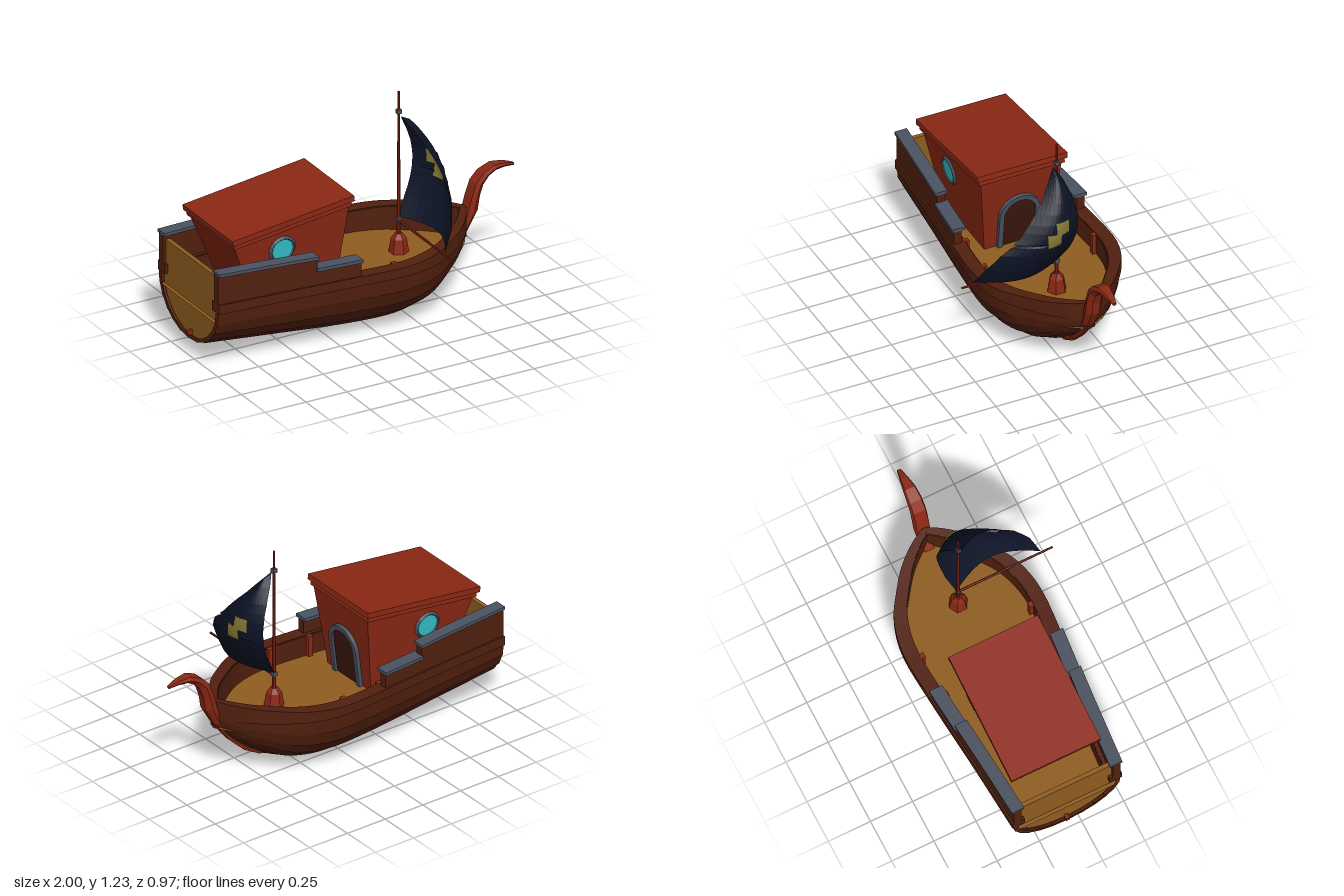
import * as THREE from 'three';

const mat = (color) => new THREE.MeshStandardMaterial({ color, flatShading: true, side: THREE.DoubleSide });
const HULL = mat(0x52200f), RED = mat(0x8c2814), DECK = mat(0x8f5d1f), IRON = mat(0x4b5361);
const SAIL = mat(0x0d1326), PATCH = mat(0x857a35), GLASS = mat(0x35c4cc), DOOR = mat(0x3a170c);

// Skin a list of equal-length rings of [x, y, z] points
function loft(rings, closed = true, caps = false) {
  const n = rings[0].length, idx = [];
  rings.slice(1).forEach((_, i) => {
    for (let j = 0; j < (closed ? n : n - 1); j++) {
      const a = i * n + j, b = i * n + (j + 1) % n;
      idx.push(a, b, b + n, a, b + n, a + n);
    }
  });
  if (caps) {
    const e = (rings.length - 1) * n;
    for (let j = 1; j < n - 1; j++) idx.push(0, j + 1, j, e, e + j, e + j + 1);
  }
  const g = new THREE.BufferGeometry();
  g.setAttribute('position', new THREE.Float32BufferAttribute(rings.flat(2), 3));
  g.setIndex(idx);
  g.computeVertexNormals();
  return g;
}

// Linear lookup in a list of points sorted by their first value
function lookup(table, t, k = 1) {
  let i = 0;
  while (i < table.length - 2 && t > table[i + 1][0]) i++;
  const a = table[i], b = table[i + 1];
  const f = THREE.MathUtils.clamp((t - a[0]) / (b[0] - a[0]), 0, 1);
  return a[k] + (b[k] - a[k]) * f;
}

// Hull stations: x, half beam, keel height
const stations = new THREE.CatmullRomCurve3([
  [-0.99, 0.315, 0.1], [-0.6, 0.345, 0.06], [-0.15, 0.385, 0.018], [0.1, 0.4, 0.01], [0.22, 0.388, 0.02],
  [0.35, 0.345, 0.05], [0.45, 0.28, 0.1], [0.56, 0.195, 0.183], [0.65, 0.09, 0.275], [0.7, 0.004, 0.362],
].map((p) => new THREE.Vector3(...p)), false, 'centripetal').getPoints(36).map((p) => p.toArray());
const beam = (x) => lookup(stations, x);
const SHEER = 0.37, FLOOR = 0.3;

// Half-round hull section with slightly overlapping strakes
function section([x, w, yb], scale = 1, lap = 0.012) {
  const half = [];
  for (let k = 0; k < 6; k++) {
    for (const [q, s] of [[k, 1], [k + 1, 1 + lap]]) {
      const a = q * Math.PI / 12, r = s * scale;
      half.push([x, SHEER - (SHEER - yb) * Math.sin(a) * (q === 6 ? scale : r), w * Math.cos(a) * r]);
    }
  }
  return [...half, ...half.slice(0, -1).reverse().map(([px, y, z]) => [px, y, -z])];
}

// Box-section strip that follows the side of the hull
function strip(x0, x1, side, inner, outer, bottom, top) {
  const xs = [x0, ...stations.map((s) => s[0]).filter((x) => x > x0 + 0.001 && x < x1 - 0.001), x1];
  return loft(xs.map((x) => {
    const zi = side * Math.max(beam(x) - inner, 0), zo = side * (beam(x) + outer);
    return [[x, bottom(x), zi], [x, bottom(x), zo], [x, top(x), zo], [x, top(x), zi]];
  }), true, true);
}

function archPoints(shape, r, spring, start) {
  shape[start](r, 0);
  shape.lineTo(r, spring);
  shape.absarc(0, spring, r, 0, Math.PI, false);
  shape.lineTo(-r, 0);
}

// Sail outline: height, luff z, leech z
const sailEdges = [
  [0.5, -0.01, 0.49], [0.6, -0.045, 0.455], [0.7, -0.06, 0.38], [0.74, -0.064, 0.33], [0.75, -0.065, 0.285],
  [0.76, -0.066, 0.315], [0.79, -0.067, 0.28], [0.86, -0.065, 0.22], [0.96, -0.046, 0.13], [1.04, -0.017, 0.07], [1.1, 0.02, 0.025],
];
function sailX(y, z) {
  const v = (y - 0.5) / 0.6, a = lookup(sailEdges, y, 1), b = lookup(sailEdges, y, 2);
  const u = THREE.MathUtils.clamp((z - a) / (b - a), 0, 1);
  return 0.297 + 0.12 * Math.sin(Math.PI * v) + 0.09 * Math.sin(Math.PI * u) * Math.pow(Math.max(1 - v, 0), 0.3);
}
function sailGeometry(ys, lo, hi, offset = 0, n = 12) {
  return loft(ys.map((y) => Array.from({ length: n + 1 }, (_, i) => {
    const z = lo(y) + (hi(y) - lo(y)) * i / n;
    return [sailX(y, z) + offset, y, z];
  })), false);
}

export function createModel() {
  const model = new THREE.Group();
  const ship = new THREE.Group();
  ship.name = 'ship';
  ship.position.z = -0.08;
  model.add(ship);
  const add = (name, geometry, material, x = 0, y = 0, z = 0, parent = ship) => {
    const m = new THREE.Mesh(geometry, material);
    m.name = name;
    m.position.set(x, y, z);
    parent.add(m);
    return m;
  };

  // Hull, stern and deck
  add('hull', loft(stations.map((s) => section(s)), false), HULL);
  add('sternFrame', loft([section(stations[0]), section(stations[0], 0.92, 0)], false), HULL);
  const transom = [-0.97, -0.945].map((x) => [[x, 0.56, 0.285], ...section([x, 0.3, 0.11], 1, 0), [x, 0.56, -0.285]]);
  add('transom', loft(transom, true, true), DECK);
  add('deck', loft(stations.map(([x, w]) => [[x, FLOOR, w * 0.93], [x, FLOOR, -w * 0.93]]), false), DECK);
  add('keelEnd', new THREE.BoxGeometry(0.03, 0.025, 0.02), RED, -0.985, 0.132, 0);

  // Gunwales, raised bulwarks, cap rails and inner posts on both sides
  const rimTop = (x) => 0.422 + 0.048 * Math.pow(Math.max((x - 0.05) / 0.65, 0), 1.6);
  const railTop = (x) => 0.59 - (x + 0.41) * 0.025;
  for (const s of [1, -1]) {
    add('gunwale', strip(-0.99, 0.7, s, 0.065, 0.01, () => SHEER - 0.002, rimTop), HULL);
    add('innerWall', strip(-0.95, 0.69, s, 0.07, -0.055, () => FLOOR, (x) => rimTop(x) - 0.005), HULL);
    add('aftBulwark', strip(-0.99, -0.41, s, 0.045, 0, () => 0.41, (x) => railTop(x) - 0.01), HULL);
    add('midBulwark', strip(-0.41, -0.155, s, 0.045, 0, () => 0.41, () => 0.505), HULL);
    add('aftRail', strip(-0.99, -0.405, s, 0.06, 0.012, (x) => railTop(x) - 0.018, railTop), IRON);
    add('midRail', strip(-0.415, -0.15, s, 0.065, 0.012, () => 0.503, () => 0.522), IRON);
    for (const x of [-0.56, -0.17, 0.08]) {
      add('post', new THREE.BoxGeometry(0.03, 0.13, 0.025), RED, x, 0.355, s * (beam(x) - 0.078));
    }
  }

  // Stem and curled prow: outer x y, inner x y, half width
  const stem = [
    [0.18, 0.01, 0.18, 0.03, 0.008], [0.3, 0.015, 0.3, 0.05, 0.012], [0.4, 0.042, 0.39, 0.08, 0.016],
    [0.5, 0.1, 0.48, 0.14, 0.021], [0.6, 0.195, 0.57, 0.22, 0.028], [0.7, 0.325, 0.66, 0.34, 0.038],
    [0.765, 0.44, 0.695, 0.43, 0.046], [0.778, 0.52, 0.72, 0.52, 0.046], [0.8, 0.58, 0.748, 0.6, 0.044],
    [0.835, 0.622, 0.795, 0.65, 0.042], [0.88, 0.644, 0.865, 0.68, 0.036], [0.935, 0.648, 0.935, 0.675, 0.024], [0.995, 0.642, 0.995, 0.655, 0.012],
  ];
  add('stem', loft(stem.map(([xo, yo, xi, yi, h]) => {
    const xm = (xo + xi) / 2, ym = (yo + yi) / 2;
    return [[xo, yo, h * 0.5], [xm, ym, h], [xi, yi, h * 0.8], [xi, yi, -h * 0.8], [xm, ym, -h], [xo, yo, -h * 0.5]];
  }), true, true), RED);

  // Cabin with flared walls and a sloping roof
  const cabin = new THREE.Group();
  cabin.name = 'cabin';
  cabin.position.z = -0.005;
  ship.add(cabin);
  const rect = (x0, y0, x1, y1, h) => [[x0, y0, h], [x1, y1, h], [x1, y1, -h], [x0, y0, -h]];
  add('cabinWalls', loft([rect(-0.695, FLOOR, -0.2, FLOOR, 0.19), rect(-0.845, 0.69, -0.14, 0.79, 0.24)]), RED, 0, 0, 0, cabin);
  add('roof', new THREE.BoxGeometry(0.75, 0.032, 0.53), RED, -0.497, 0.773, 0, cabin).rotation.z = 0.125;
  add('eaves', new THREE.BoxGeometry(0.725, 0.032, 0.505), RED, -0.494, 0.743, 0, cabin).rotation.z = 0.125;

  // Arched doorway leaning with the front wall
  const doorway = new THREE.Group();
  doorway.name = 'doorway';
  doorway.position.set(-0.2, FLOOR, 0);
  doorway.rotation.z = -0.122;
  cabin.add(doorway);
  const frame = new THREE.Shape(), opening = new THREE.Shape();
  archPoints(frame, 0.12, 0.21, 'moveTo');
  frame.lineTo(-0.092, 0);
  frame.lineTo(-0.092, 0.21);
  frame.absarc(0, 0.21, 0.092, Math.PI, 0, true);
  frame.lineTo(0.092, 0);
  archPoints(opening, 0.094, 0.21, 'moveTo');
  for (const [name, shape, depth, m] of [['doorFrame', frame, 0.022, IRON], ['door', opening, 0.008, DOOR]]) {
    const g = new THREE.ExtrudeGeometry(shape, { depth, bevelEnabled: false, curveSegments: 8 });
    add(name, g, m, 0, 0, 0, doorway).rotation.y = Math.PI / 2;
  }

  // Round side windows
  for (const s of [1, -1]) {
    const porthole = new THREE.Group();
    porthole.name = 'window';
    porthole.position.set(-0.545, 0.605, s * 0.226);
    porthole.rotation.x = s * 0.113;
    cabin.add(porthole);
    add('windowFrame', new THREE.TorusGeometry(0.069, 0.012, 4, 16), IRON, 0, 0, 0, porthole);
    add('windowGlass', new THREE.CylinderGeometry(0.066, 0.066, 0.012, 16), GLASS, 0, 0, 0, porthole).rotation.x = Math.PI / 2;
  }

  // Mast, boom and fittings
  const mx = 0.295;
  add('mastFoot', new THREE.CylinderGeometry(0.042, 0.055, 0.08, 6), RED, mx, FLOOR + 0.04, 0);
  add('mastCollar', new THREE.CylinderGeometry(0.02, 0.042, 0.03, 6), RED, mx, FLOOR + 0.095, 0);
  add('mast', new THREE.CylinderGeometry(0.006, 0.012, 0.94, 8), RED, mx, FLOOR + 0.47, 0);
  add('boom', new THREE.CylinderGeometry(0.006, 0.008, 0.56, 8), RED, mx, 0.482, 0.28).rotation.x = Math.PI / 2;
  for (const y of [0.49, 1.122]) add('mastClamp', new THREE.BoxGeometry(0.026, 0.024, 0.024), IRON, mx, y, 0);

  // Billowing sail with sewn patches on both faces
  const ys = [...sailEdges.map((e) => e[0]), 0.55, 0.65, 0.82, 0.91, 1.0, 1.075].sort((a, b) => a - b);
  add('sail', sailGeometry(ys, (y) => lookup(sailEdges, y, 1), (y) => lookup(sailEdges, y, 2)), SAIL);
  for (const [y0, y1, z0, z1] of [[0.73, 0.81, 0.062, 0.145], [0.795, 0.87, 0.01, 0.092]]) {
    const rows = [0, 1, 2, 3, 4, 5, 6].map((i) => y0 + (y1 - y0) * i / 6);
    for (const offset of [0.006, -0.006]) add('sailPatch', sailGeometry(rows, () => z0, () => z1, offset, 6), PATCH);
  }
  return model;
}
